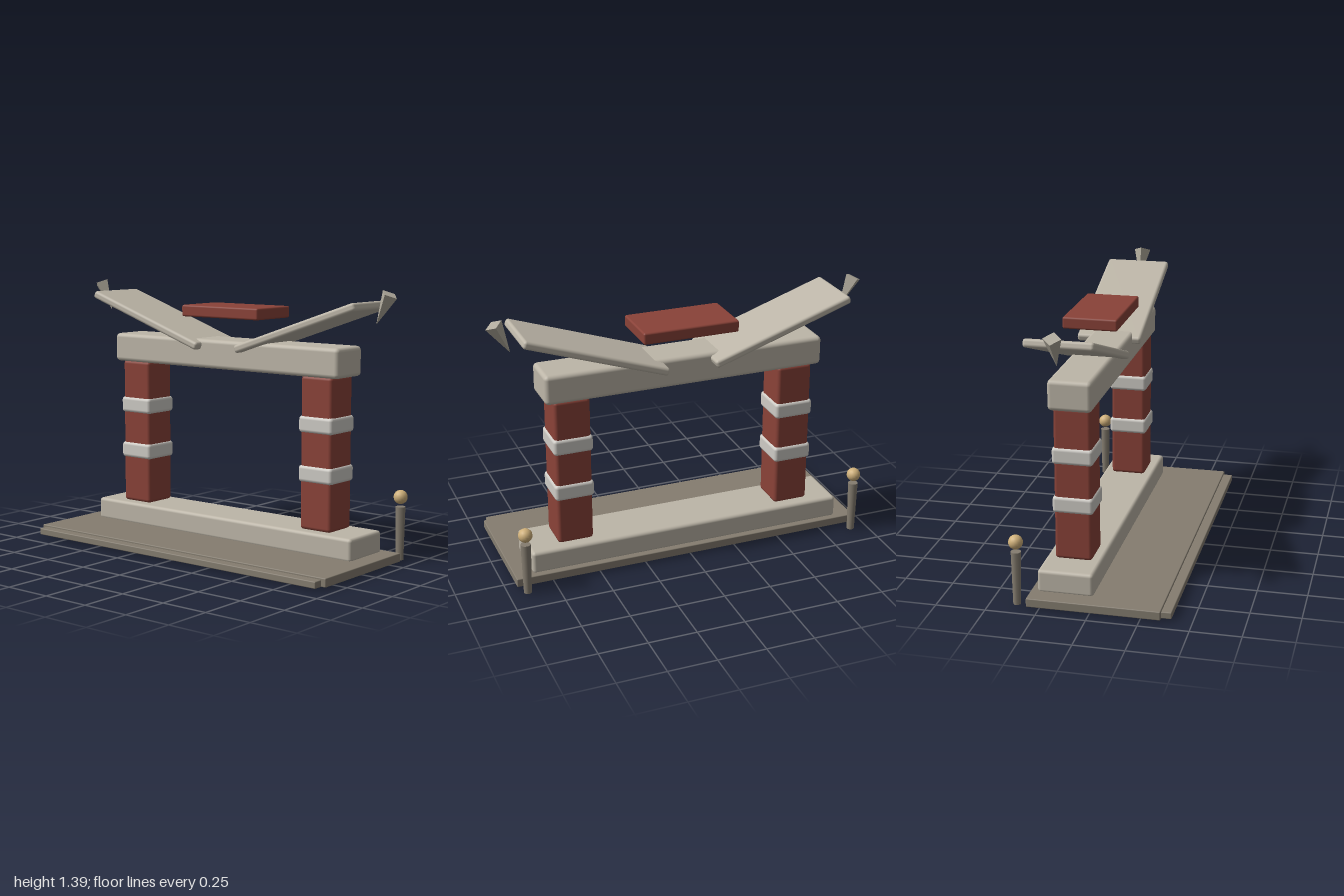
import * as THREE from 'three';
import { RoundedBoxGeometry } from 'three/addons/geometries/RoundedBoxGeometry.js';

const paint = (color, flatShading = false) => new THREE.MeshStandardMaterial({ color, flatShading });

export function createModel() {
  const group = new THREE.Group();
  const red = paint(0x8a4238);
  const stone = paint(0xbdb6a8);
  const pale = paint(0xcfccc6);
  const darkStone = paint(0x857d70);
  const gold = paint(0xcfb07a);
  const tipStone = paint(0xb0aa9c, true);
  const earth = paint(0x8a7c58);

  const add = (name, geometry, material, x, y, z) => {
    const mesh = new THREE.Mesh(geometry, material);
    mesh.name = name;
    mesh.position.set(x, y, z);
    group.add(mesh);
    return mesh;
  };

  // Softened block given by its extents
  const block = (name, material, [x0, x1], [y0, y1], [z0, z1], radius) =>
    add(name, new RoundedBoxGeometry(x1 - x0, y1 - y0, z1 - z0, 2, radius), material,
      (x0 + x1) / 2, (y0 + y1) / 2, (z0 + z1) / 2);

  // Ground slab, front step and plinth
  block('groundSlab', darkStone, [-0.945, 0.945], [0.01, 0.055], [-0.312, 0.35], 0.005);
  block('frontStep', darkStone, [-0.92, 0.92], [0.01, 0.045], [0.3, 0.4], 0.005);
  block('plinth', stone, [-0.85, 0.85], [0.045, 0.165], [-0.28, 0], 0.018);

  // Thin earth patch and strip beneath the slab
  const outline = [[0.31, -0.085], [0.31, 0.15], [0.16, 0.24], [-0.4, 0.22], [-0.39, 0.015], [-0.14, -0.09]];
  const patch = new THREE.ExtrudeGeometry(
    new THREE.Shape(outline.map(([x, z]) => new THREE.Vector2(x, -z))),
    { depth: 0.012, bevelEnabled: false });
  patch.rotateX(-Math.PI / 2);
  add('earthPatch', patch, earth, 0, 0, 0);
  add('undersideStrip', new THREE.BoxGeometry(1.6, 0.008, 0.03), darkStone, 0, 0.009, 0.07);

  // Crossbeam and raised plaque
  block('crossbeam', stone, [-0.742, 0.742], [0.945, 1.098], [-0.247, -0.028], 0.022);
  block('plaque', red, [-0.252, 0.252], [1.213, 1.274], [-0.3, -0.018], 0.01);

  for (const side of [1, -1]) {
    // Column with two bands
    const cx = side * 0.603, cz = -0.137;
    add('column', new RoundedBoxGeometry(0.188, 0.785, 0.188, 2, 0.018), red, cx, 0.558, cz);
    for (const y of [0.453, 0.705])
      add('columnBand', new RoundedBoxGeometry(0.206, 0.086, 0.206, 2, 0.018), pale, cx, y, cz);

    // Upswept roof wing
    const wing = add('roofWing', new RoundedBoxGeometry(0.775, 0.042, 0.342, 2, 0.015), stone,
      side * 0.492, 1.185, -0.153);
    wing.rotation.z = side * 0.33;

    // Four-sided roof tip, pointing down and inward
    const tip = add('roofTip', new THREE.ConeGeometry(0.045, 0.168, 4), tipStone,
      side * 0.918, 1.29, -0.153);
    tip.rotation.z = side * 2.678;

    // Lantern post with globe
    add('lanternPost', new THREE.CylinderGeometry(0.026, 0.02, 0.275, 10), darkStone,
      side * 0.906, 0.143, -0.366);
    add('lanternGlobe', new THREE.SphereGeometry(0.036, 16, 12), gold, side * 0.906, 0.33, -0.366);
  }

  return group;
}
